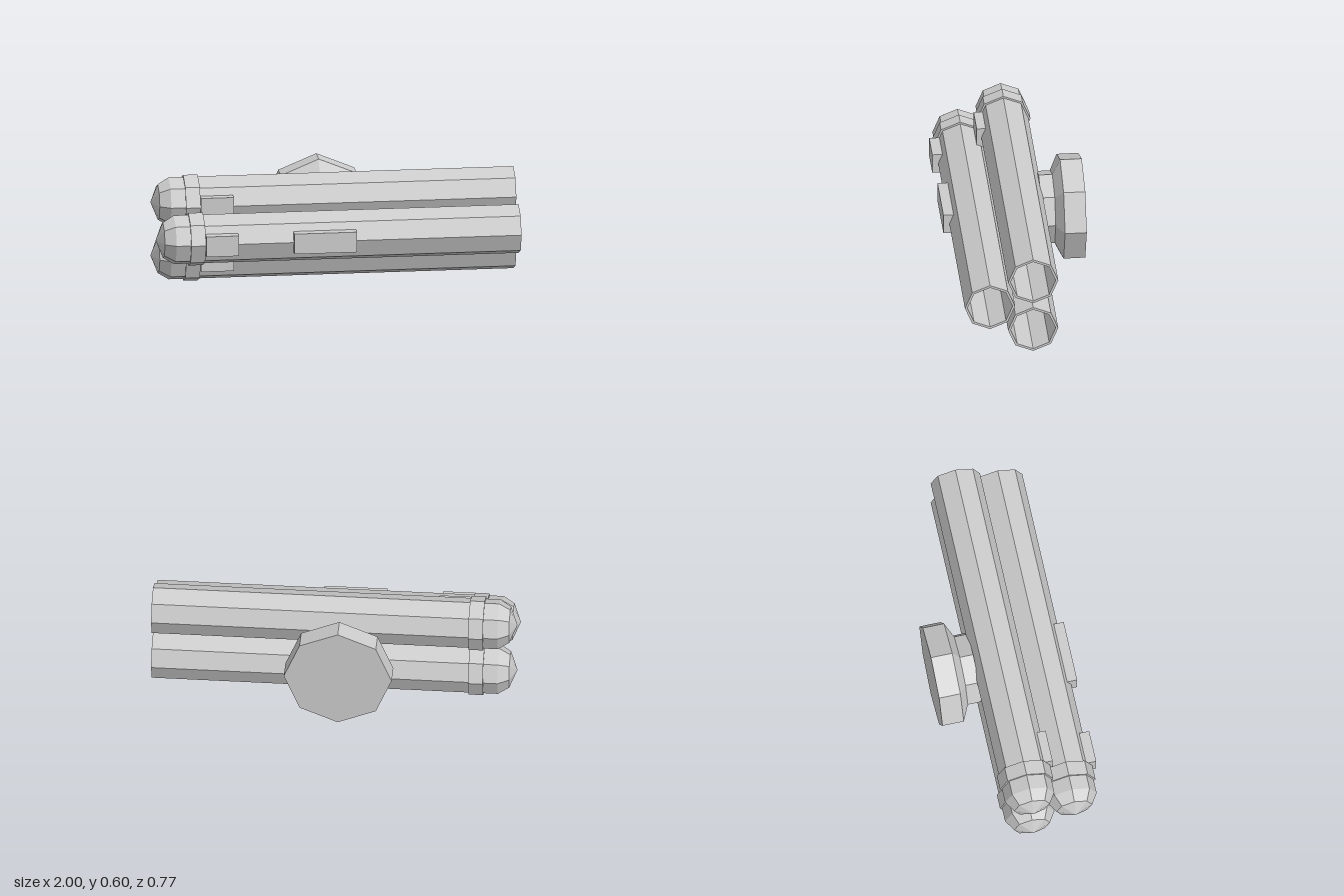
import * as THREE from 'three';

const material = new THREE.MeshStandardMaterial({ color: 0xcccccc, flatShading: true });

// Eight-sided turned part; profile is [radius, distance along axis]
function turned(name, profile) {
  const points = profile.map(([r, t]) => new THREE.Vector2(r, t));
  const mesh = new THREE.Mesh(new THREE.LatheGeometry(points, 8), material);
  mesh.name = name;
  return mesh;
}

// Box given by its x range, sitting on the front of a tube
function block(name, x0, x1, y, z) {
  const mesh = new THREE.Mesh(new THREE.BoxGeometry(x1 - x0, 0.114, 0.061), material);
  mesh.name = name;
  mesh.position.set((x0 + x1) / 2, y, z);
  return mesh;
}

function createTube(name) {
  const tube = new THREE.Group();
  tube.name = name;

  // Hollow barrel, open at +x, with a faceted nose at -x
  const barrel = turned('barrel', [
    [0, 0.74], [0.124, 0.74], [0.124, -1], [0.138, -1],
    [0.138, 0.9], [0.1, 0.96], [0, 1],
  ]);
  // Raised band behind the nose
  const band = turned('band', [[0.13, 0.74], [0.149, 0.74], [0.149, 0.82], [0.13, 0.82]]);
  for (const part of [barrel, band]) {
    part.rotation.z = Math.PI / 2;
    tube.add(part);
  }

  tube.add(block('smallBlock', -0.74, -0.56, 0, 0.14));
  return tube;
}

export function createModel() {
  const model = new THREE.Group();
  model.name = 'tripleTubeLauncher';

  // Three tubes in a triangular cluster: [name, y, z]
  const tubes = [
    ['upperTube', 0.454, -0.022],
    ['lowerTube', 0.151, -0.022],
    ['frontTube', 0.303, 0.215],
  ];
  for (const [name, y, z] of tubes) {
    const tube = createTube(name);
    tube.position.set(0, y, z);
    // The blocks on the rear pair sit slightly nearer the axis
    if (z < 0) tube.getObjectByName('smallBlock').position.z = 0.133;
    model.add(tube);
  }

  // Long block on the front tube
  model.add(block('longBlock', -0.255, 0.09, 0.303, 0.355));

  // Octagonal mount: neck, flare and base plate
  const mount = turned('mount', [
    [0, 0.15], [0.205, 0.15], [0.205, 0.225],
    [0.296, 0.268], [0.296, 0.387], [0, 0.387],
  ]);
  mount.rotation.x = -Math.PI / 2;
  mount.position.set(-0.042, 0.303, 0);
  model.add(mount);

  return model;
}
